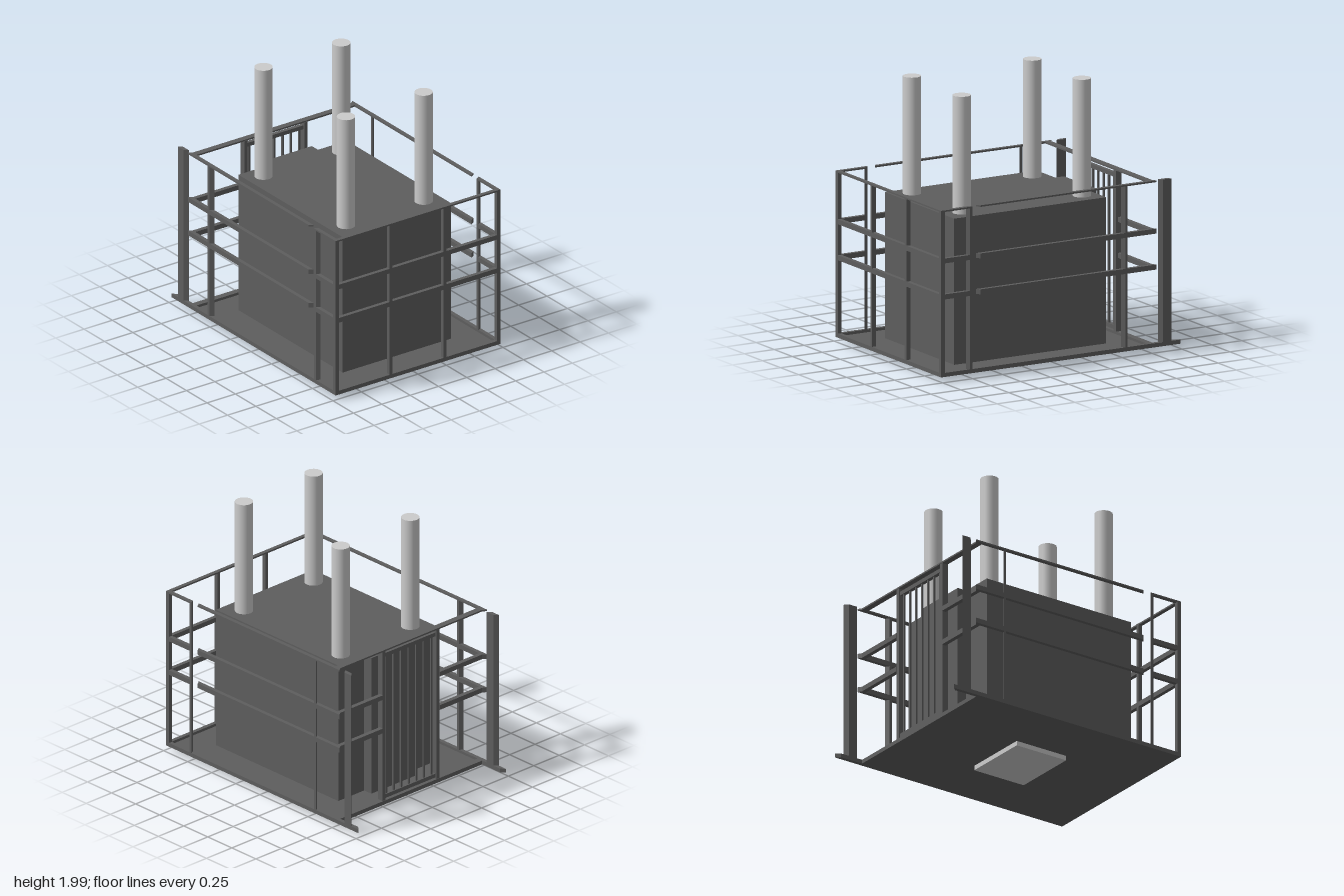
import * as THREE from 'three';

export function createModel() {
  const model = new THREE.Group();
  const light = new THREE.MeshStandardMaterial({ color: 0xcccccc });
  const dark = new THREE.MeshStandardMaterial({ color: 0x5e5e5e });

  function add(name, geometry, material = dark) {
    const mesh = new THREE.Mesh(geometry, material);
    mesh.name = name;
    model.add(mesh);
    return mesh;
  }

  // Box given by its limits on each axis
  function box(name, [x0, x1], [y0, y1], [z0, z1], material) {
    const g = new THREE.BoxGeometry(x1 - x0, y1 - y0, z1 - z0);
    g.translate((x0 + x1) / 2, (y0 + y1) / 2, (z0 + z1) / 2);
    return add(name, g, material);
  }

  // Upright prism from a plan outline of [x, z] points
  function prism(name, plan, [y0, y1], material) {
    const shape = new THREE.Shape(plan.map(([x, z]) => new THREE.Vector2(x, -z)));
    const g = new THREE.ExtrudeGeometry(shape, { depth: y1 - y0, bevelEnabled: false });
    g.rotateX(-Math.PI / 2);
    g.translate(0, y0, 0);
    return add(name, g, material);
  }

  const OUT = 0.727, IN = 0.698;       // outer and inner faces of the long sides
  const FLOOR = 0.045, TOP = 1.26;
  const railLevels = [[0.605, 0.642], [0.87, 0.906], [1.248, TOP]];

  // Mitred bar on a long side: outer edge a..b, inner edge c..d
  const sideBar = (name, s, a, b, c, d, ys) =>
    prism(name, [[a, s * OUT], [b, s * OUT], [d, s * IN], [c, s * IN]], ys);

  // Floor and the plate below it
  box('floorPlate', [-0.783, 1], [0.035, FLOOR], [-OUT, OUT]);
  box('undersidePlate', [-0.11, 0.325], [0, 0.035], [-0.26, 0.26], light);
  box('floorEdgeLeft', [0.97, 1], [FLOOR, 0.065], [-IN, IN]);
  box('floorEdgeRight', [-0.783, -0.735], [FLOOR, 0.065], [-IN, IN]);

  // Central block with a shallow projection towards the gate
  prism('centralBlock', [
    [-0.53, -0.48], [0.74, -0.48], [0.74, 0.477], [-0.53, 0.477],
    [-0.53, 0.225], [-0.605, 0.225], [-0.605, -0.225], [-0.53, -0.225],
  ], [FLOOR, 1.12]);

  // Four tall columns
  for (const x of [-0.41, 0.595]) {
    for (const z of [-0.343, 0.343]) {
      const g = new THREE.CylinderGeometry(0.066, 0.066, 0.865, 32);
      g.translate(x, 1.12 + 0.865 / 2, z);
      add('column', g, light);
    }
  }

  // Long sides, mirrored front to back
  for (const s of [1, -1]) {
    sideBar('floorEdgeLong', s, -1, 1, -0.967, 1, [0.035, 0.065]);
    sideBar('gateWingPost', s, -0.925, -0.855, -0.9, -0.83, [0.065, TOP]);
    sideBar('sidePost', s, -0.56, -0.54, -0.54, -0.52, [0.065, 1.25]);
    sideBar('gapPost', s, 0.735, 0.758, 0.752, 0.775, [0.065, TOP]);
    box('cornerPost', [0.968, 1], [0.065, TOP], s > 0 ? [IN, OUT] : [-OUT, -IN]);

    for (const ys of railLevels) {
      sideBar('sideRail', s, -0.803, 0.67, -0.783, 0.69, ys);
      sideBar('cornerRail', s, 0.75, 1, 0.77, 1, ys);
    }

    // Posts of the left side, and the rails beside the gate
    const span = (a, b) => (s > 0 ? [a, b] : [-b, -a]);
    box('endPost', [0.968, 1], [0.065, TOP], span(0.225, 0.25));
    box('gatePost', [-0.78, -0.732], [0.065, 1.25], span(0.25, 0.28));
    for (const ys of railLevels.slice(0, 2)) {
      box('gateSideRail', [-0.783, -0.75], ys, span(0.28, IN));
    }
  }

  // Rails across the left end, and the top rail over the gate
  for (const ys of railLevels) box('endRail', [0.97, 1], ys, [-IN, IN]);
  box('gateTopRail', [-0.783, -0.735], railLevels[2], [-IN, IN]);

  // Barred gate
  box('gateUpperFrame', [-0.77, -0.74], [1.195, 1.225], [-0.25, 0.25]);
  box('gateLowerFrame', [-0.77, -0.74], [0.075, 0.105], [-0.25, 0.25]);
  for (let i = 0; i < 7; i++) {
    const z = 0.222 - i * 0.074;
    box('gateBar', [-0.762, -0.748], [0.105, 1.195], [z - 0.007, z + 0.007]);
  }

  return model;
}
